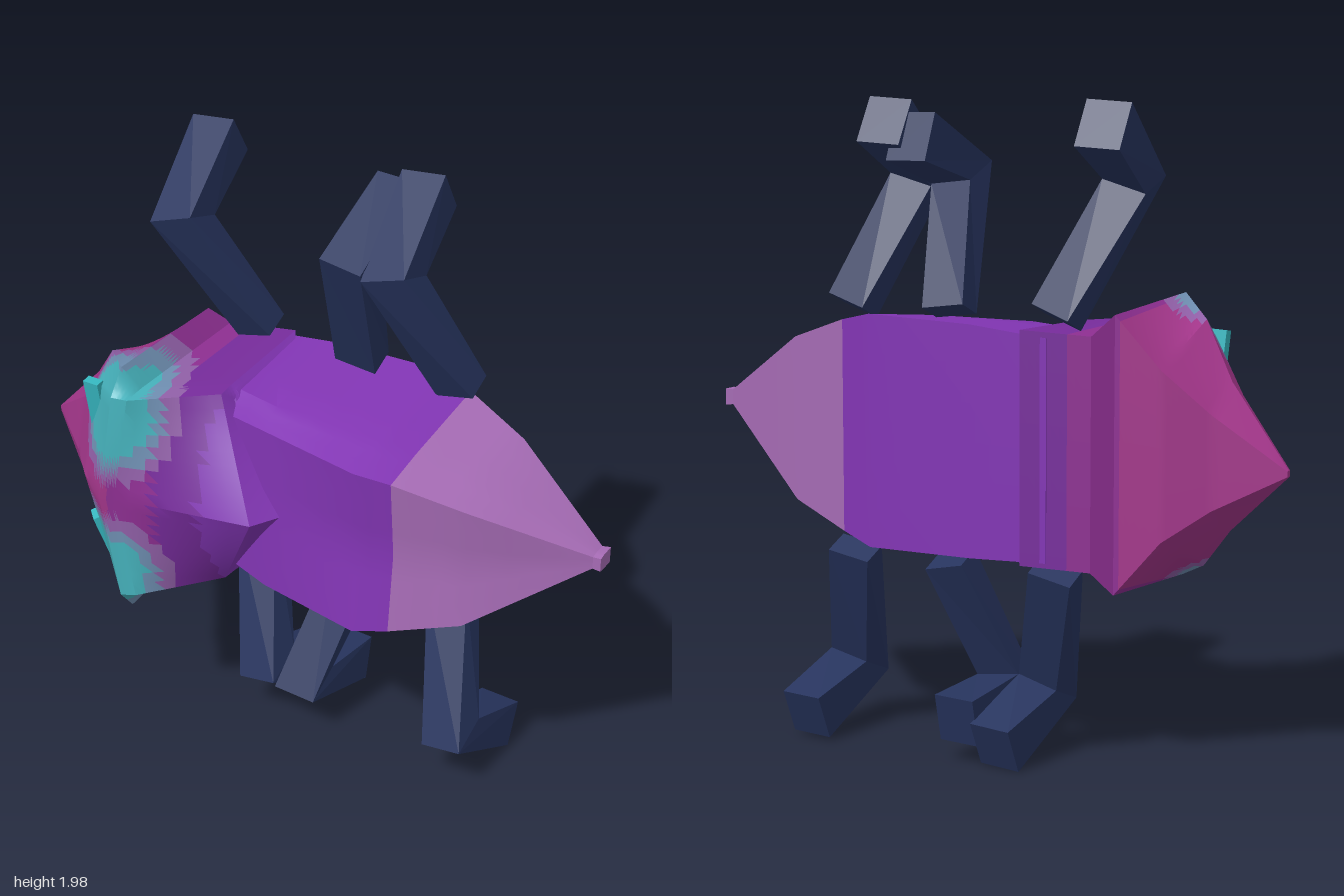
import * as THREE from 'three';
import { toCreasedNormals } from 'three/addons/utils/BufferGeometryUtils.js';

const mat = (name, color) => {
  const m = new THREE.MeshStandardMaterial({ color, side: THREE.DoubleSide });
  m.name = name;
  return m;
};

const V = (x, y, z) => new THREE.Vector3(x, y, z);

// Skin a list of closed rings; pick(point) gives the material index of a face.
function skin(rings, pick, crease) {
  const buckets = [];
  const tri = (a, b, c) => {
    const area = b.clone().sub(a).cross(c.clone().sub(a)).length();
    if (area < 1e-10) return;
    const mid = a.clone().add(b).add(c).divideScalar(3);
    const k = pick(mid);
    (buckets[k] ||= []).push(...a.toArray(), ...b.toArray(), ...c.toArray());
  };
  const n = rings[0].length;
  for (let i = 0; i < rings.length - 1; i++) {
    for (let j = 0; j < n; j++) {
      const k = (j + 1) % n;
      const [a, b, c, d] = [rings[i][j], rings[i][k], rings[i + 1][j], rings[i + 1][k]];
      tri(a, c, b);
      tri(b, c, d);
    }
  }
  // end caps
  const first = rings[0], last = rings[rings.length - 1];
  for (let j = 1; j < n - 1; j++) {
    tri(first[0], first[j], first[j + 1]);
    tri(last[0], last[j + 1], last[j]);
  }
  const positions = [], groups = [];
  buckets.forEach((list, k) => {
    groups.push([positions.length / 3, list.length / 3, k]);
    for (const value of list) positions.push(value);
  });
  const g = new THREE.BufferGeometry();
  g.setAttribute('position', new THREE.Float32BufferAttribute(positions, 3));
  g.computeVertexNormals();
  const out = crease ? toCreasedNormals(g, crease) : g;
  out.clearGroups();
  groups.forEach((q) => out.addGroup(...q));
  return out;
}

// Cross-section row: x, forward sweep of the ridge, y centre, ridge z,
// then half-width and z of the front corner, the side and the back corner.
function section([x, sweep, yc, zc, hf, zf, hs, zs, hb, zb]) {
  return [
    V(x + sweep, yc, zc), V(x, yc + hf, zf), V(x, yc + hs, zs), V(x, yc + hb, zb),
    V(x, yc, zb), V(x, yc - hb, zb), V(x, yc - hs, zs), V(x, yc - hf, zf),
  ];
}

// Subdivide the section grid so colour bands follow clean borders.
function refine(rows, steps) {
  const coarse = rows.map(section);
  const dense = coarse.map((ring) => ring.flatMap((p, j) =>
    Array.from({ length: steps }, (_, s) => p.clone().lerp(ring[(j + 1) % ring.length], s / steps))));
  const out = [];
  for (let i = 0; i < dense.length - 1; i++) {
    for (let s = 0; s < steps; s++) {
      out.push(dense[i].map((p, j) => p.clone().lerp(dense[i + 1][j], s / steps)));
    }
  }
  out.push(dense[dense.length - 1]);
  return out;
}

// Bent leg with a square section: hip, knee, foot
function legGeometry(hip, knee, foot) {
  const t1 = knee.clone().sub(hip).normalize();
  const t2 = foot.clone().sub(knee).normalize();
  const tm = t1.clone().add(t2).normalize();
  const ring = (p, t, halfWidth, halfThick) => {
    const n = V(1, 0, 0).cross(t).normalize();
    const w = t.clone().cross(n).normalize();
    return [[1, 1], [-1, 1], [-1, -1], [1, -1]].map(([a, b]) =>
      p.clone().addScaledVector(w, a * halfWidth).addScaledVector(n, b * halfThick));
  };
  const rings = [
    ring(hip, t1, 0.068, 0.045), ring(knee, tm, 0.07, 0.07), ring(foot, t2, 0.068, 0.075),
  ];
  // reversed loops so the faces point outward
  return skin(rings.map((r) => r.reverse()), () => 0, 0);
}

export function createModel() {
  const model = new THREE.Group();
  model.name = 'beetle';

  const magenta = mat('magenta', 0xa3368a);
  const plum = mat('plum', 0x8e2f92);
  const violet = mat('violet', 0x772c9c);
  const purple = mat('purple', 0x8235b4);
  const lilac = mat('lilac', 0xa56bb4);
  const teal = mat('teal', 0x46b2bc);
  const slate = mat('slate', 0x6f8fb2);
  const mauve = mat('mauve', 0x9160a8);
  const eyeTeal = mat('bright teal', 0x35b5be);
  const navy = mat('navy', 0x27345e);

  const add = (name, geometry, material) => {
    const mesh = new THREE.Mesh(geometry, material);
    mesh.name = name;
    model.add(mesh);
    return mesh;
  };

  // Head and hooded thorax, with a flared collar
  const hoodRows = [
    [-0.965, 0, 0.94, -0.04, 0.008, -0.04, 0.01, -0.05, 0.008, -0.06],
    [-0.75, 0, 0.96, 0.16, 0.17, 0.11, 0.22, 0.03, 0.14, -0.11],
    [-0.62, -0.02, 0.975, 0.28, 0.3, 0.21, 0.37, 0.13, 0.25, -0.17],
    [-0.48, -0.04, 0.97, 0.37, 0.36, 0.34, 0.435, 0.28, 0.41, -0.19],
    [-0.43, -0.05, 0.975, 0.35, 0.355, 0.33, 0.358, 0.25, 0.345, -0.24],
    [-0.22, 0.18, 0.985, 0.275, 0.335, 0.14, 0.34, 0.08, 0.347, -0.283],
    [-0.2, 0.22, 0.985, 0.17, 0.3, 0.1, 0.32, 0.08, 0.33, -0.25],
  ];
  const eyeSpots = [V(-0.52, 1.25, 0.3), V(-0.55, 0.7, 0.29)];
  const hoodColour = (p) => {
    const behind = p.x > -0.48;
    const d = Math.min(...eyeSpots.map((e) => Math.hypot(
      p.x - e.x, p.y - e.y, (p.z - e.z) * (behind ? 0.6 : 1))));
    if (d < 0.15) return 5;
    if (d < 0.185) return 6;
    if (d < 0.225) return 7;
    return p.x < -0.5 ? 0 : p.x < -0.36 ? 1 : p.x < -0.22 ? 2 : 3;
  };
  const palette = [magenta, plum, violet, purple, lilac, teal, slate, mauve];
  add('headAndThorax', skin(refine(hoodRows, 9), hoodColour, 0.4), palette);

  // Abdomen with a pale pointed tail
  const abdomenRows = [
    [-0.3, 0, 0.98, 0.1, 0.26, 0.1, 0.32, 0.04, 0.33, -0.27],
    [-0.05, 0, 0.99, 0.18, 0.28, 0.18, 0.32, 0.1, 0.348, -0.28],
    [0.3, 0, 0.995, 0.22, 0.28, 0.25, 0.315, 0.1, 0.355, -0.28],
    [0.41, 0, 1.0, 0.2, 0.26, 0.225, 0.285, 0.08, 0.325, -0.255],
    [0.62, 0, 1.0, 0.14, 0.2, 0.16, 0.225, 0.04, 0.255, -0.2],
    [0.94, 0, 1.03, -0.03, 0.02, -0.03, 0.024, -0.05, 0.024, -0.09],
    [0.965, 0, 1.03, -0.03, 0.022, -0.03, 0.026, -0.05, 0.026, -0.095],
  ];
  add('abdomen', skin(refine(abdomenRows, 3), (p) => (p.x < 0.41 ? 3 : 4), 0.4), palette);

  // Raised slit eyes, one on each side of the head
  const slit = (name, from, to, out) => {
    const along = to.clone().sub(from);
    const length = along.length();
    along.normalize();
    const across = out.clone().cross(along).normalize();
    const normal = along.clone().cross(across).normalize();
    const eye = add(name, new THREE.BoxGeometry(0.055, length, 0.03), eyeTeal);
    eye.quaternion.setFromRotationMatrix(new THREE.Matrix4().makeBasis(across, along, normal));
    eye.position.copy(from).add(to).multiplyScalar(0.5);
  };
  slit('upperEye', V(-0.66, 1.12, 0.2), V(-0.55, 1.28, 0.272), V(-0.6, 0.15, 0.8));
  slit('lowerEye', V(-0.66, 0.8, 0.2), V(-0.53, 0.65, 0.28), V(-0.6, -0.15, 0.8));

  // Six legs: x of hip, knee and foot, with the foot height
  const legs = [
    ['upper', 1, [-0.3, -0.46, -0.5], 1.925], ['upper', 1, [0.06, 0.12, 0.13], 1.88],
    ['upper', 1, [0.4, 0.26, 0.22], 1.925], ['lower', -1, [-0.3, -0.18, -0.15], 0.085],
    ['lower', -1, [0.06, -0.04, -0.02], 0.15], ['lower', -1, [0.4, 0.5, 0.52], 0.095],
  ];
  legs.forEach(([side, s, [a, b, c], footY], i) => {
    const hip = V(a, 0.99 + s * 0.375, -0.21);
    const knee = V(b, 0.99 + s * 0.775, -0.035);
    add(`${side}Leg${(i % 3) + 1}`, legGeometry(hip, knee, V(c, footY, -0.31)), navy);
  });

  return model;
}
